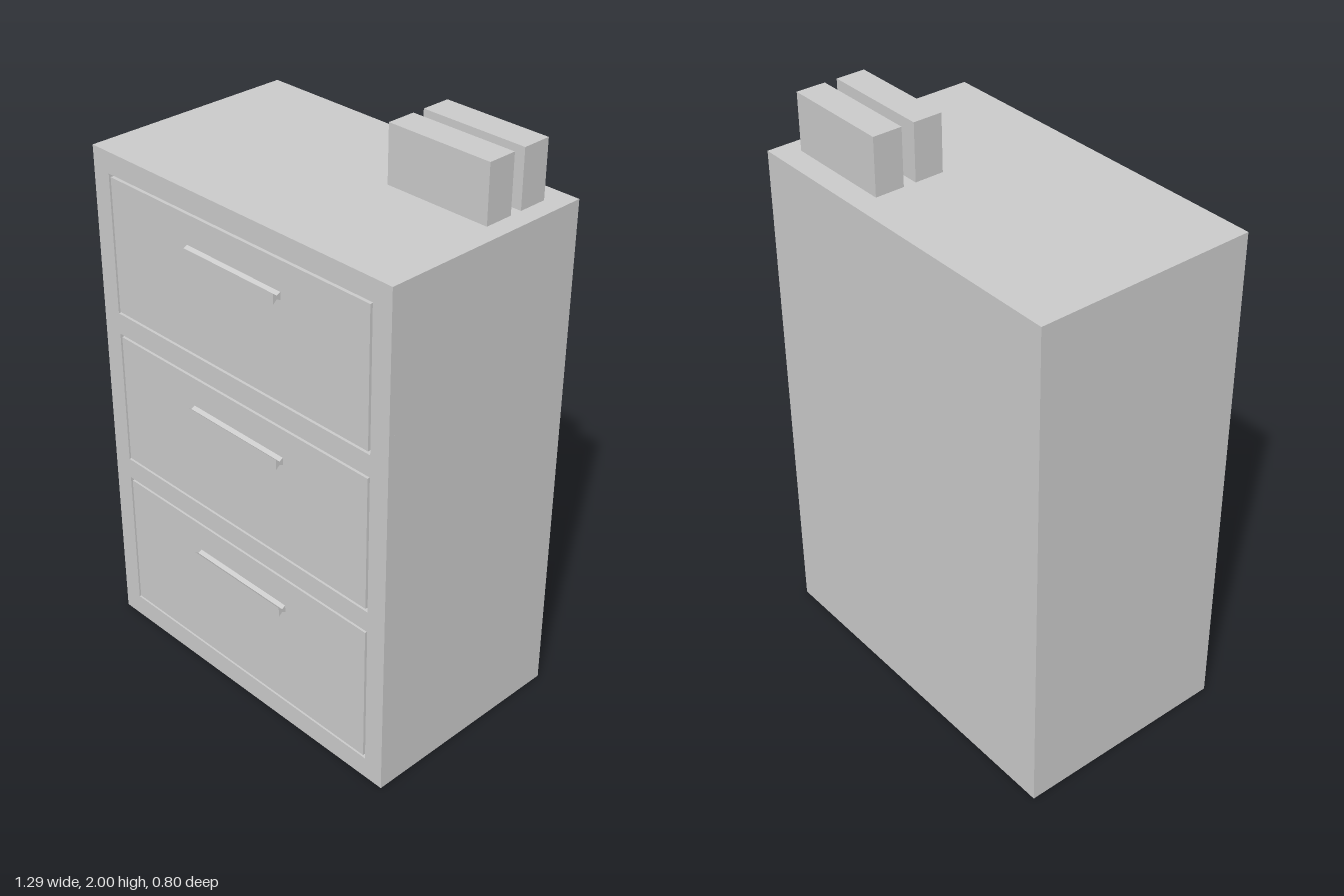
import * as THREE from 'three';

const W = 1.286, H = 1.804, BACK = -0.4, FRONT = 0.372, GROOVE = 0.02;
const material = new THREE.MeshStandardMaterial({ color: 0xcccccc, flatShading: true });

function addMesh(parent, name, geometry, x = 0, y = 0, z = 0) {
  const mesh = new THREE.Mesh(geometry, material);
  mesh.name = name;
  mesh.position.set(x, y, z);
  parent.add(mesh);
  return mesh;
}

// Box given by its minimum and maximum corners
function addBox(parent, name, [x0, y0, z0], [x1, y1, z1]) {
  return addMesh(parent, name, new THREE.BoxGeometry(x1 - x0, y1 - y0, z1 - z0),
    (x0 + x1) / 2, (y0 + y1) / 2, (z0 + z1) / 2);
}

function rectangle(PathType, x0, y0, x1, y1) {
  const path = new PathType();
  path.moveTo(x0, y0).lineTo(x1, y0).lineTo(x1, y1).lineTo(x0, y1).closePath();
  return path;
}

// Pull bar: a waisted section (depth, height) swept sideways
function handleGeometry() {
  const depth = 0.028, waist = 0.014, length = 0.41;
  const section = new THREE.Shape([
    [0, -0.013], [waist, -0.006], [depth, -0.018],
    [depth, 0.018], [waist, 0.006], [0, 0.013],
  ].map(([x, y]) => new THREE.Vector2(x, y)));
  const geometry = new THREE.ExtrudeGeometry(section, { depth: length, bevelEnabled: false });
  geometry.translate(0, 0, -length / 2);
  geometry.rotateY(-Math.PI / 2);
  return geometry;
}

export function createModel() {
  const model = new THREE.Group();
  model.name = 'drawerCabinet';

  // Outer edges of each drawer opening, and its handle height
  const drawers = [
    { bottom: 0.078, top: 0.597, handle: 0.473 },
    { bottom: 0.672, top: 1.163, handle: 1.04 },
    { bottom: 1.239, top: 1.73, handle: 1.606 },
  ];
  const half = 0.571, gap = 0.009;

  // Carcass and the face frame with the drawer openings
  addBox(model, 'carcass', [-W / 2, 0, BACK], [W / 2, H, FRONT - GROOVE]);
  const frame = rectangle(THREE.Shape, -W / 2, 0, W / 2, H);
  for (const d of drawers) frame.holes.push(rectangle(THREE.Path, -half, d.bottom, half, d.top));
  addMesh(model, 'faceFrame',
    new THREE.ExtrudeGeometry(frame, { depth: GROOVE, bevelEnabled: false }), 0, 0, FRONT - GROOVE);

  // Drawer fronts, flush with the frame, each with a handle
  const handle = handleGeometry();
  drawers.forEach((d, i) => {
    const drawer = new THREE.Group();
    drawer.name = `drawer${i + 1}`;
    addBox(drawer, 'drawerFront', [-half + gap, d.bottom + gap, FRONT - GROOVE],
      [half - gap, d.top - gap, FRONT]);
    addMesh(drawer, 'handle', handle, 0, d.handle, FRONT);
    model.add(drawer);
  });

  // Two upright blocks on the top
  [[-0.32, -0.218], [-0.174, -0.072]].forEach(([z0, z1], i) =>
    addBox(model, `topBlock${i + 1}`, [0.191, H, z0], [0.578, 2, z1]));

  return model;
}
